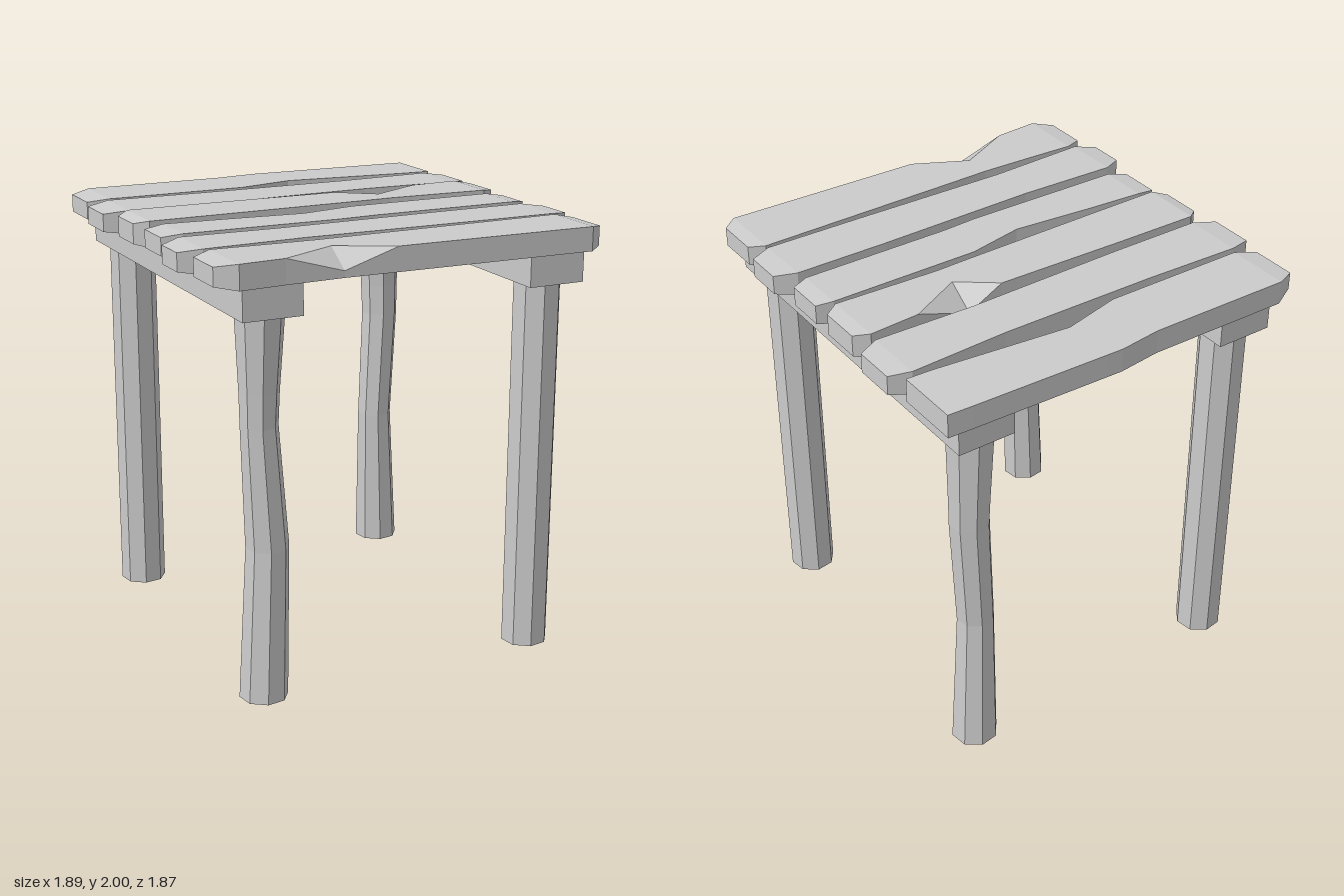
import * as THREE from 'three';

const material = new THREE.MeshStandardMaterial({ color: 0xcccccc, flatShading: true });
const openMaterial = new THREE.MeshStandardMaterial({ color: 0xcccccc, flatShading: true, side: THREE.DoubleSide });

// Joins rings of equal length into a solid; optional caps close both ends
function loft(rings, capped, closedMaterial) {
  const n = rings[0].length, index = [];
  for (let i = 0; i < rings.length - 1; i++) {
    for (let j = 0; j < n; j++) {
      const a = i * n + j, b = i * n + (j + 1) % n, c = b + n, d = a + n;
      index.push(a, d, c, a, c, b);
    }
  }
  if (capped) {
    const last = (rings.length - 1) * n;
    for (let j = 1; j < n - 1; j++) {
      index.push(0, j, j + 1, last, last + j + 1, last + j);
    }
  }
  const indexed = new THREE.BufferGeometry();
  indexed.setAttribute('position', new THREE.Float32BufferAttribute(rings.flat(2), 3));
  indexed.setIndex(index);
  const geometry = indexed.toNonIndexed();
  geometry.computeVertexNormals();
  return new THREE.Mesh(geometry, closedMaterial);
}

// Plank sections along x: [x, back z, front z]; a chip is cut into a top edge at one section
const planks = [
  { rows: [[-0.92, -0.87, -0.65], [-0.82, -0.92, -0.615], [-0.14, -0.915, -0.615], [0.06, -0.94, -0.665],
    [0.14, -0.938, -0.685], [0.78, -0.92, -0.62], [0.9, -0.915, -0.615]], square: true },
  { rows: [[-0.95, -0.55, -0.34], [-0.84, -0.585, -0.305], [-0.38, -0.57, -0.305], [0.38, -0.565, -0.32],
    [0.85, -0.585, -0.305], [0.945, -0.545, -0.345]] },
  { rows: [[-0.92, -0.22, -0.03], [-0.86, -0.27, 0.015], [-0.45, -0.265, 0.01], [0.18, -0.25, 0],
    [0.35, -0.25, -0.005], [0.61, -0.255, 0.005], [0.85, -0.27, 0.015], [0.915, -0.225, -0.025]],
  chip: { row: 4, side: 'back', z: -0.12, y: 1.91 }, top: 2 },
  { rows: [[-0.9, 0.06, 0.255], [-0.81, 0.05, 0.285], [-0.53, 0.07, 0.288], [-0.15, 0.105, 0.294],
    [-0.05, 0.085, 0.295], [0.12, 0.05, 0.285], [0.84, 0.05, 0.285], [0.915, 0.075, 0.26]] },
  { rows: [[-0.95, 0.395, 0.565], [-0.85, 0.34, 0.605], [-0.38, 0.355, 0.585], [0.4, 0.34, 0.6],
    [0.85, 0.34, 0.605], [0.945, 0.39, 0.57]] },
  { rows: [[-0.92, 0.67, 0.875], [-0.83, 0.625, 0.93], [-0.62, 0.635, 0.915], [-0.35, 0.645, 0.905],
    [-0.1, 0.64, 0.91], [0.85, 0.625, 0.93], [0.915, 0.675, 0.885]],
  chip: { row: 3, side: 'front', z: 0.78, y: 1.91 } },
];

function makePlank({ rows, chip, square, top = 1.99 }) {
  const rings = rows.map(([x, back, front], i) => {
    // Ends are slightly thinner than the middle
    const taper = i === 0 ? 0.014 : i === rows.length - 1 && !square ? 0.01 : 0;
    const low = 1.88 + taper, high = top - taper;
    const cut = chip && chip.row === i ? chip : {};
    const cutFront = cut.side === 'front', cutBack = cut.side === 'back';
    return [
      [x, low, back], [x, low, front],
      [x, cutFront ? cut.y : high, front], [x, high, cutFront ? cut.z : front],
      [x, high, cutBack ? cut.z : back], [x, cutBack ? cut.y : high, back],
    ];
  });
  return loft(rings, true, material);
}

// Eight-sided open leg through levels of [y, x offset, z offset, radius]
function makeLeg(x, z, levels) {
  const rings = levels.map(([y, dx, dz, r]) => Array.from({ length: 8 }, (_, k) => {
    const a = -0.24 - k * Math.PI / 4;
    return [x + dx + r * Math.sin(a), y, z + dz + r * Math.cos(a)];
  }));
  return loft(rings, false, openMaterial);
}

export function createModel() {
  const model = new THREE.Group();
  const add = (mesh, name) => {
    mesh.name = name;
    model.add(mesh);
  };

  // Table top
  planks.forEach((plank, i) => add(makePlank(plank), `plank${i + 1}`));

  // Beams under the planks
  for (const [name, x] of [['rightBeam', -0.67], ['leftBeam', 0.692]]) {
    const beam = new THREE.Mesh(new THREE.BoxGeometry(0.272, 0.18, 1.78), material);
    beam.position.set(x, 1.83, 0.01);
    add(beam, name);
  }

  // Two straight legs and two crooked ones on opposite corners
  const straight = [[0, 0, 0, 0.109], [1.75, 0, 0, 0.109]];
  const bentSideways = [[0, 0, 0, 0.109], [0.7, 0.024, 0, 0.096], [1.25, -0.008, 0, 0.083],
    [1.4, -0.006, 0, 0.088], [1.75, 0, 0, 0.109]];
  const bentInward = [[0, 0, 0, 0.109], [0.7, -0.02, 0.01, 0.087], [1.25, 0.008, 0.005, 0.092],
    [1.4, 0.006, 0.003, 0.096], [1.75, 0, 0, 0.109]];
  add(makeLeg(0.682, 0.757, straight), 'frontLeftLeg');
  add(makeLeg(-0.667, 0.757, bentSideways), 'frontRightLeg');
  add(makeLeg(0.682, -0.743, bentInward), 'backLeftLeg');
  add(makeLeg(-0.667, -0.743, straight), 'backRightLeg');

  return model;
}
